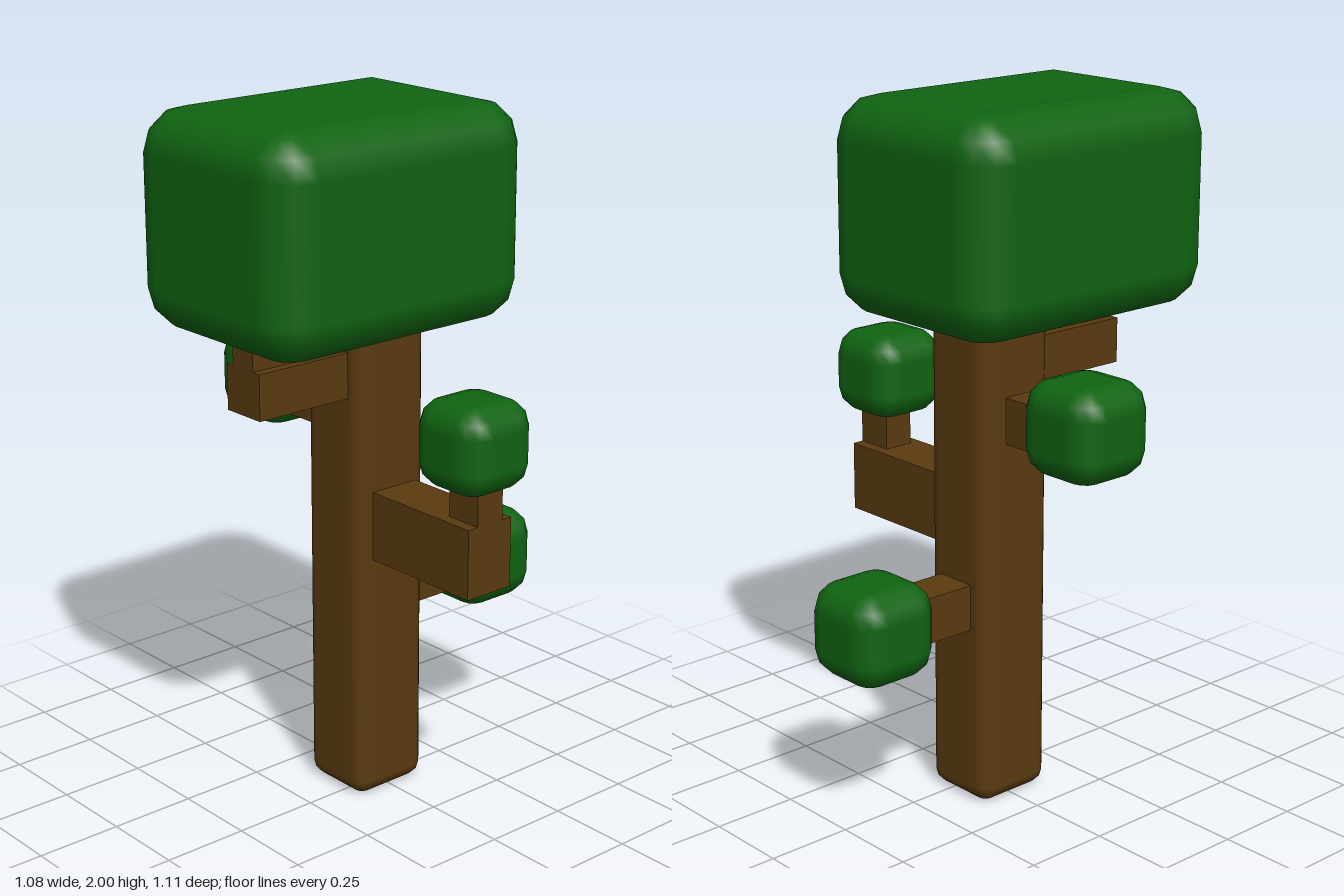
import * as THREE from 'three';

const bark = new THREE.MeshStandardMaterial({ color: 0x5a3a10 });
const leaf = new THREE.MeshStandardMaterial({ color: 0x106412 });

// Box with bevelled edges: a sphere split into octants that are pushed out to
// the corners, three steps per bevel, with the end rows closing top and bottom.
function bevelBox(w, h, d, r) {
  const cols = 16, rows = 9, step = Math.PI / 6;
  const geo = new THREE.SphereGeometry(1, cols, rows);
  const pos = geo.attributes.position, nor = geo.attributes.normal;
  for (let j = 0; j <= rows; j++) {
    const top = j < 5, cap = j === 0 || j === rows;
    const theta = cap ? (top ? 0 : Math.PI)
      : (top ? (j - 1) * step : Math.PI / 2 + (j - 5) * step);
    for (let i = 0; i <= cols; i++) {
      const k = i % cols, quarter = Math.floor(k / 4) * Math.PI / 2;
      const phi = quarter + (k % 4) * step, mid = quarter + Math.PI / 4;
      const nx = -Math.cos(phi) * Math.sin(theta);
      const ny = Math.cos(theta);
      const nz = Math.sin(phi) * Math.sin(theta);
      const spread = cap ? 0 : 1;
      const id = j * (cols + 1) + i;
      pos.setXYZ(id,
        nx * r - Math.sign(Math.cos(mid)) * (w / 2 - r) * spread,
        ny * r + (top ? 1 : -1) * (h / 2 - r),
        nz * r + Math.sign(Math.sin(mid)) * (d / 2 - r) * spread);
      nor.setXYZ(id, nx, ny, nz);
    }
  }
  return geo;
}

// Adds a block spanning the given ranges; a radius makes it bevelled.
function block(group, name, material, [x0, x1], [y0, y1], [z0, z1], r = 0) {
  const w = x1 - x0, h = y1 - y0, d = z1 - z0;
  const geo = r ? bevelBox(w, h, d, r) : new THREE.BoxGeometry(w, h, d);
  const mesh = new THREE.Mesh(geo, material);
  mesh.name = name;
  mesh.position.set((x0 + x1) / 2, (y0 + y1) / 2, (z0 + z1) / 2);
  group.add(mesh);
}

export function createModel() {
  const tree = new THREE.Group();
  tree.name = 'tree';

  // Trunk and crown
  block(tree, 'trunk', bark, [-0.157, 0.08], [0, 1.46], [-0.12, 0.13], 0.045);
  block(tree, 'crown', leaf, [-0.365, 0.288], [1.397, 2], [-0.317, 0.556], 0.12);

  // Left branch with an upright twig
  block(tree, 'leftBranch', bark, [0, 0.463], [0.73, 0.93], [-0.075, 0.081]);
  block(tree, 'leftTwig', bark, [0.352, 0.463], [0.93, 1.06], [-0.042, 0.048]);
  block(tree, 'leftFoliage', leaf, [0.286, 0.537], [1.025, 1.272], [-0.107, 0.143], 0.075);

  // Front branch with a twig reaching into the crown
  block(tree, 'frontBranch', bark, [-0.106, 0.032], [1.2, 1.33], [0, 0.433]);
  block(tree, 'frontTwig', bark, [-0.08, 0.005], [1.33, 1.44], [0.304, 0.433]);

  // Right branch
  block(tree, 'rightBranch', bark, [-0.3, -0.06], [1.066, 1.198], [-0.042, 0.078]);
  block(tree, 'rightFoliage', leaf, [-0.54, -0.267], [1.026, 1.294], [-0.118, 0.155], 0.08);

  // Back branch
  block(tree, 'backBranch', bark, [-0.1, 0.024], [0.526, 0.659], [-0.32, -0.05]);
  block(tree, 'backFoliage', leaf, [-0.174, 0.098], [0.46, 0.73], [-0.556, -0.282], 0.08);

  return tree;
}
